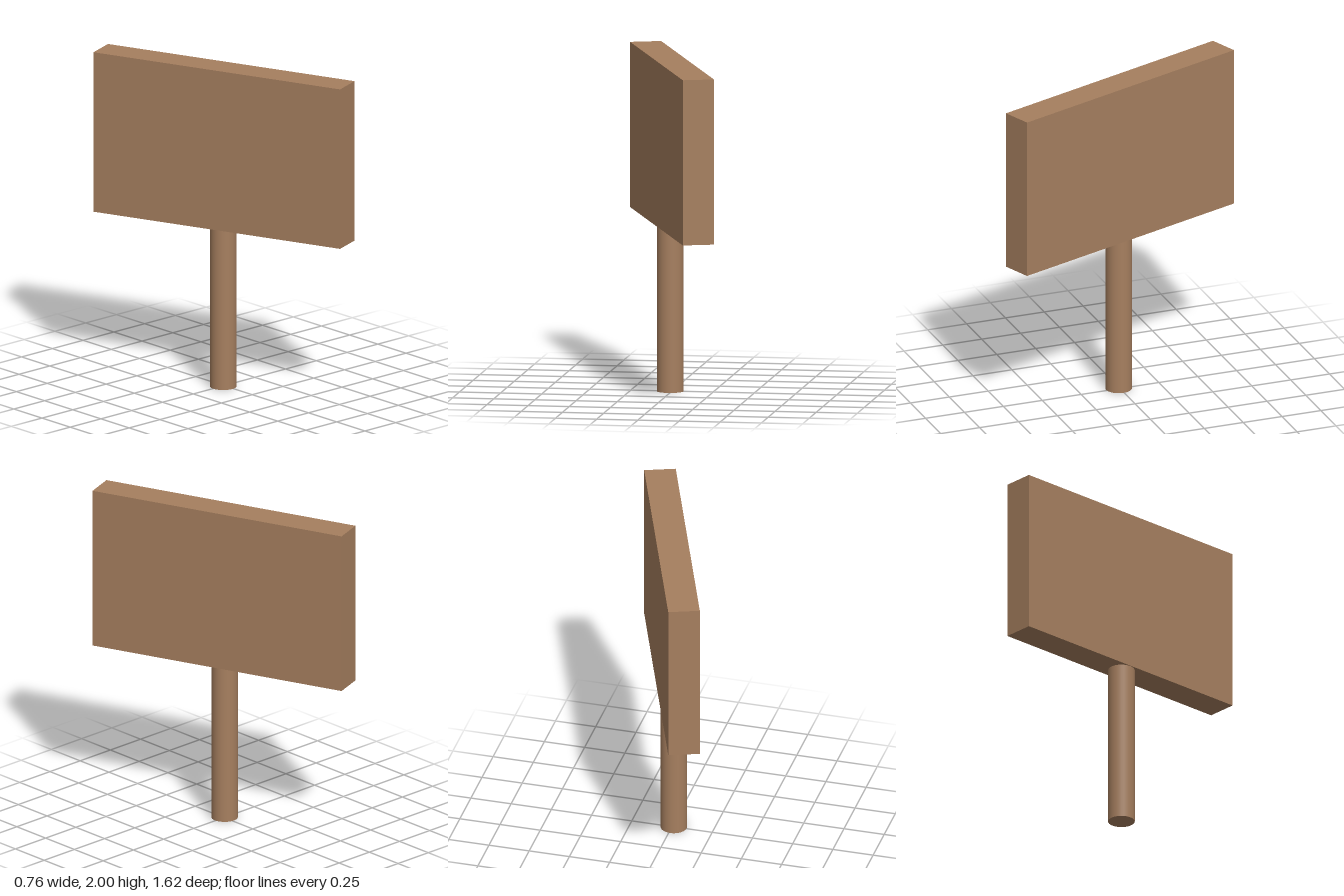
import * as THREE from 'three';

export function createModel() {
  const model = new THREE.Group();
  model.name = 'signpost';

  const wood = new THREE.MeshStandardMaterial({ color: 0xa67f5f });
  wood.name = 'brown wood';

  // Round post, slightly off the board's centre
  const post = new THREE.Mesh(new THREE.CylinderGeometry(0.08, 0.08, 1, 32), wood);
  post.name = 'post';
  post.position.set(-0.01, 0.5, 0.005);

  // Thick board, turned about the vertical axis
  const board = new THREE.Mesh(new THREE.BoxGeometry(0.19, 1, 1.66), wood);
  board.name = 'board';
  board.position.y = 1.5;
  board.rotation.y = THREE.MathUtils.degToRad(20.4);

  model.add(post, board);
  return model;
}
